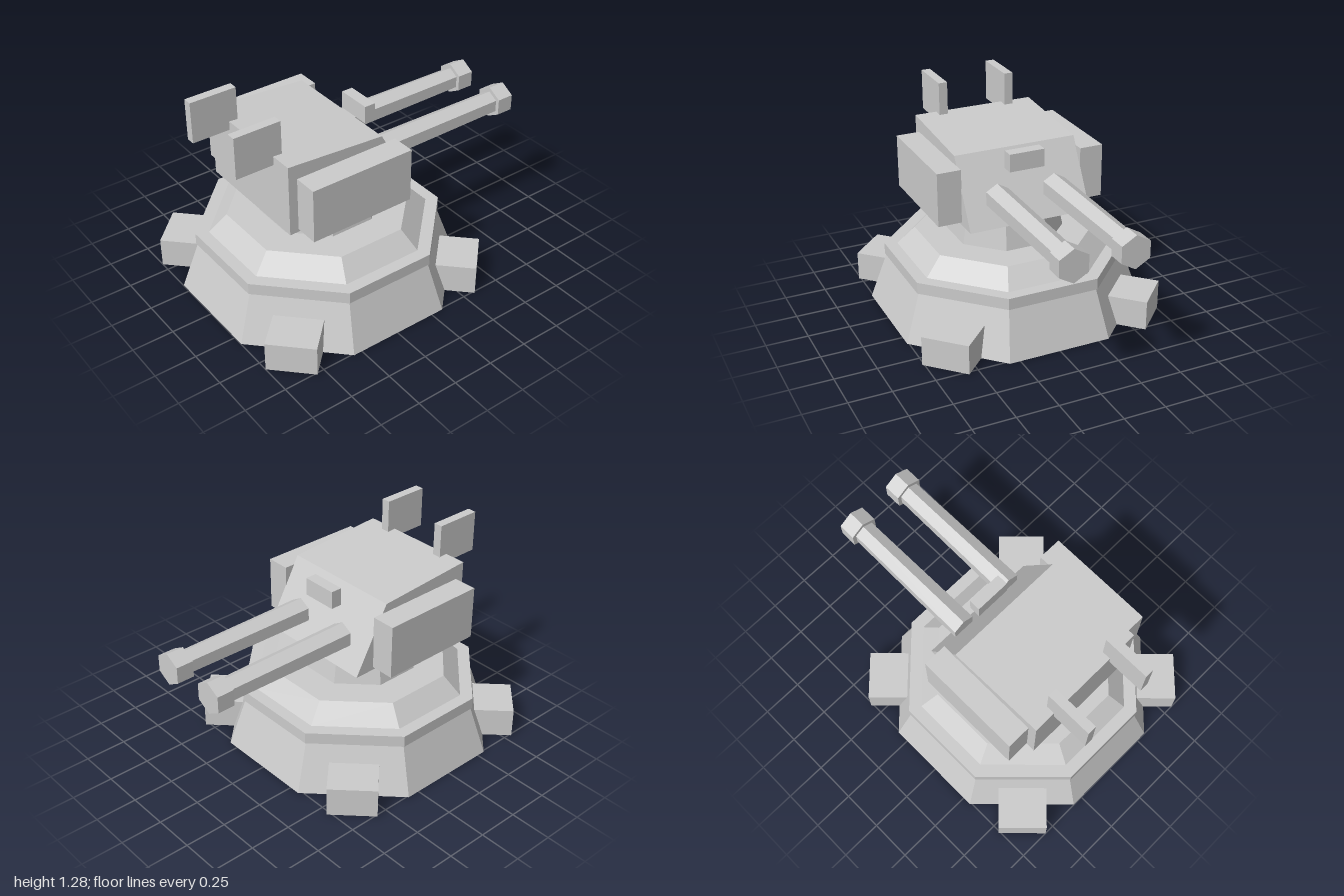
import * as THREE from 'three';

const material = new THREE.MeshStandardMaterial({ color: 0xcccccc, flatShading: true });
const BASE_Z = 0.238; // centre of the octagonal pedestal

export function createModel() {
  const model = new THREE.Group();
  model.name = 'gunTurret';

  const add = (name, geometry, parent = model) => {
    const mesh = new THREE.Mesh(geometry, material);
    mesh.name = name;
    parent.add(mesh);
    return mesh;
  };

  // Box given by its minimum and maximum corners
  const addBox = (name, [x0, y0, z0], [x1, y1, z1]) => {
    const mesh = add(name, new THREE.BoxGeometry(x1 - x0, y1 - y0, z1 - z0));
    mesh.position.set((x0 + x1) / 2, (y0 + y1) / 2, (z0 + z1) / 2);
    return mesh;
  };

  // Octagonal tier, sized by the distance from its centre to its flat sides
  const addTier = (name, y0, y1, bottom, top) => {
    const k = 1 / Math.cos(Math.PI / 8);
    const geometry = new THREE.CylinderGeometry(top * k, bottom * k, y1 - y0, 8, 1, false, Math.PI / 8);
    add(name, geometry).position.set(0, (y0 + y1) / 2, BASE_Z);
  };

  // Pedestal
  addTier('pedestalBase', 0, 0.29, 0.76, 0.663);
  addTier('pedestalRim', 0.29, 0.36, 0.672, 0.672);
  addTier('pedestalShoulder', 0.36, 0.466, 0.6, 0.5);
  addTier('neck', 0.466, 0.65, 0.325, 0.29);

  // Four feet on the diagonal sides
  for (let i = 0; i < 4; i++) {
    const angle = Math.PI / 4 + (i * Math.PI) / 2;
    const foot = add('foot', new THREE.BoxGeometry(0.284, 0.18, 0.335));
    foot.position.set(Math.sin(angle) * 0.768, 0.09, BASE_Z + Math.cos(angle) * 0.768);
    foot.rotation.y = angle;
  }

  // Turret body: side profile (z, y) extruded across the width
  const profile = new THREE.Shape([
    [-0.69, 0.65], [0.137, 0.65], [-0.08, 1.04], [-0.69, 1.08],
  ].map(([x, y]) => new THREE.Vector2(x, y)));
  const body = new THREE.ExtrudeGeometry(profile, { depth: 0.754, bevelEnabled: false });
  body.translate(0, 0, -0.377).rotateY(Math.PI / 2);
  add('turretBody', body);

  // Sight in front of the sloping face
  addBox('sight', [-0.108, 0.953, -0.082], [0.108, 1.06, -0.012]);

  for (const side of [-1, 1]) {
    // Armour box and upright fin
    const armour = addBox('sideArmour', [0.375, 0.667, -0.012], [0.52, 0.99, 0.636]);
    armour.position.x *= side;
    const fin = addBox('rearFin', [0.188, 1.027, 0.636], [0.242, 1.276, 0.92]);
    fin.position.x *= side;

    // Hexagonal barrel with a wider muzzle, pointing to the back (-z)
    const gun = new THREE.Group();
    gun.name = 'gun';
    gun.position.set(side * 0.179, 0.812, 0);
    const addHex = (name, z0, z1, r0, r1) => {
      const geometry = new THREE.CylinderGeometry(r1, r0, z0 - z1, 6);
      geometry.rotateX(-Math.PI / 2);
      add(name, geometry, gun).position.z = (z0 + z1) / 2;
    };
    addHex('barrel', -0.065, -0.9, 0.079, 0.071);
    addHex('muzzle', -0.895, -1, 0.098, 0.098);
    model.add(gun);
  }

  return model;
}
